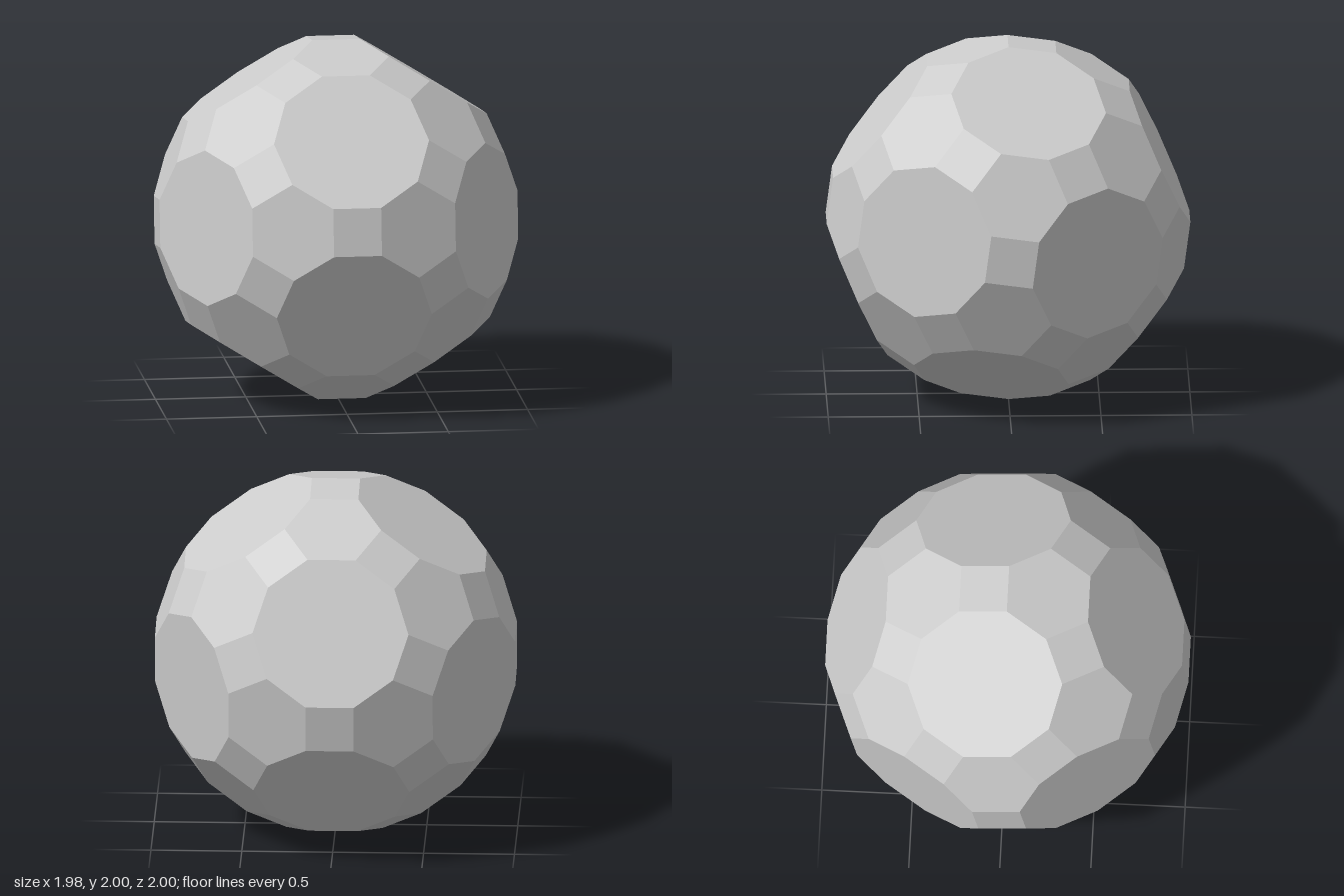
import * as THREE from 'three';
import { ConvexGeometry } from 'three/addons/geometries/ConvexGeometry.js';

// Truncated icosidodecahedron: 30 squares, 20 hexagons and 12 decagons.
export function createModel() {
  const p = (1 + Math.sqrt(5)) / 2;
  const seeds = [
    [1 / p, 1 / p, 3 + p],
    [2 / p, p, 1 + 2 * p],
    [1 / p, p * p, 3 * p - 1],
    [2 * p - 1, 2, 2 + p],
    [p, 3, 2 * p],
  ];

  // All sign changes and cyclic permutations of the seeds: 120 corners
  const corners = [];
  for (const seed of seeds) {
    for (let shift = 0; shift < 3; shift++) {
      for (let signs = 0; signs < 8; signs++) {
        const c = seed.map((v, i) => (signs & (1 << i) ? -v : v));
        corners.push(new THREE.Vector3(c[shift], c[(shift + 2) % 3], c[(shift + 1) % 3]));
      }
    }
  }

  // Tilt so the solid is poised on one edge, then scale to height 2 on the ground
  const tilt = Math.atan2(1 / p, 3 + p);
  const halfHeight = Math.hypot(1 / p, 3 + p);
  const geometry = new ConvexGeometry(corners);
  geometry.rotateX(-tilt);
  geometry.scale(1 / halfHeight, 1 / halfHeight, 1 / halfHeight);
  geometry.translate(0, 1, 0);

  const solid = new THREE.Mesh(
    geometry,
    new THREE.MeshStandardMaterial({ color: 0xcccccc, flatShading: true })
  );
  solid.name = 'truncatedIcosidodecahedron';

  const group = new THREE.Group();
  group.name = 'polyhedron';
  group.add(solid);
  return group;
}
